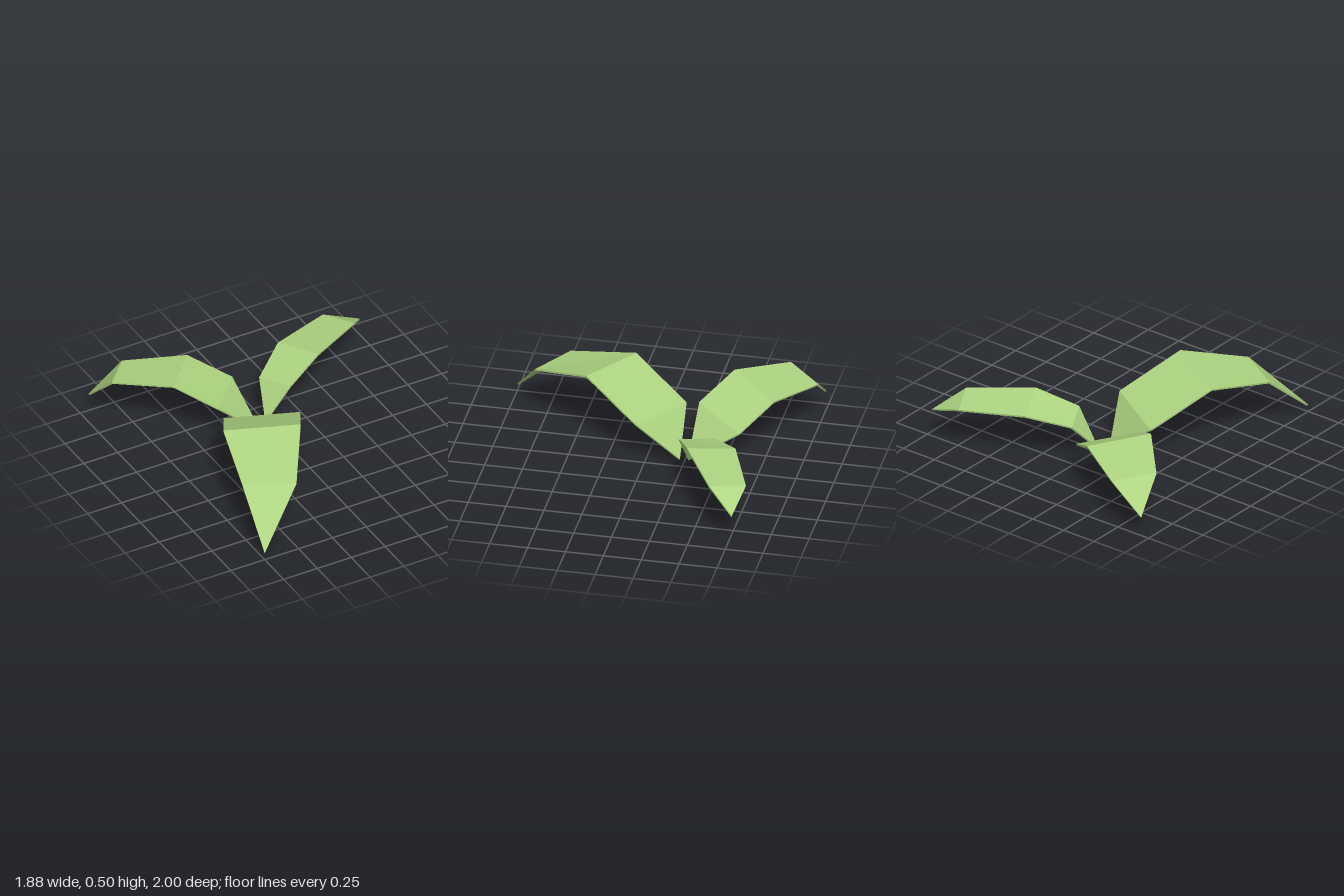
import * as THREE from 'three';

const THICKNESS = 0.012;

// Each leaf: base point, three [right, left] rows, tip
const LEAVES = [
  {
    name: 'frontLeaf', base: [-0.07, 0.015, -0.22], tip: [-0.75, 0.055, 1.0],
    rows: [
      [[-0.39, 0.255, -0.195], [0.045, 0.30, 0.04]],
      [[-0.60, 0.463, 0.18], [-0.16, 0.507, 0.415]],
      [[-0.715, 0.36, 0.64], [-0.41, 0.372, 0.81]],
    ],
  },
  {
    name: 'backRightLeaf', base: [-0.08, 0.012, -0.27], tip: [-0.94, 0.135, -1.0],
    rows: [
      [[-0.10, 0.23, -0.60], [-0.38, 0.275, -0.28]],
      [[-0.33, 0.367, -0.785], [-0.605, 0.413, -0.465]],
      [[-0.695, 0.318, -0.995], [-0.89, 0.35, -0.775]],
    ],
  },
  {
    name: 'backLeftLeaf', base: [-0.033, 0.045, -0.283], tip: [0.94, 0.218, -0.78],
    rows: [
      [[0.14, 0.285, -0.26], [0.03, 0.255, -0.478]],
      [[0.405, 0.378, -0.37], [0.27, 0.335, -0.66]],
      [[0.80, 0.345, -0.60], [0.69, 0.312, -0.82]],
    ],
  },
];

const vec = (p) => new THREE.Vector3(...p);

// Thin folded blade: upper skin, lower skin and rim
function leafGeometry({ base, rows, tip }) {
  const top = [[base, base], ...rows, [tip, tip]].map((row) => row.map(vec));
  const last = top.length - 1;
  const centre = top.map(([a, b]) => a.clone().add(b).multiplyScalar(0.5));

  // The lower skin follows the upper one along each row's mean normal
  const bottom = top.map(([a, b], i) => {
    const [wa, wb] = top[Math.min(Math.max(i, 1), last - 1)];
    const width = wb.clone().sub(wa).normalize();
    const along = new THREE.Vector3();
    if (i > 0) along.add(centre[i].clone().sub(centre[i - 1]).normalize());
    if (i < last) along.add(centre[i + 1].clone().sub(centre[i]).normalize());
    const drop = along.cross(width).normalize().multiplyScalar(-THICKNESS);
    return [a.clone().add(drop), b.clone().add(drop)];
  });

  const positions = [];
  const tri = (...points) => points.forEach((p) => positions.push(p.x, p.y, p.z));
  const quad = (a, b, c, d) => { tri(a, b, c); tri(a, c, d); };

  for (let i = 0; i < last; i++) {
    const [a, b] = top[i], [c, d] = top[i + 1];
    const [e, f] = bottom[i], [g, h] = bottom[i + 1];
    if (i < last - 1) { tri(a, c, d); tri(e, h, g); }
    if (i === last - 1) { tri(a, c, b); tri(e, f, g); }
    else if (i > 0) { tri(a, d, b); tri(e, f, h); }
    quad(e, g, c, a); // right rim
    quad(h, f, b, d); // left rim
  }

  const geometry = new THREE.BufferGeometry();
  geometry.setAttribute('position', new THREE.Float32BufferAttribute(positions, 3));
  geometry.computeVertexNormals();
  return geometry;
}

export function createModel() {
  const leafGreen = new THREE.MeshStandardMaterial({ color: 0xaed581, flatShading: true });
  leafGreen.name = 'leafGreen';

  const plant = new THREE.Group();
  plant.name = 'plant';
  for (const leaf of LEAVES) {
    const mesh = new THREE.Mesh(leafGeometry(leaf), leafGreen);
    mesh.name = leaf.name;
    plant.add(mesh);
  }
  return plant;
}
